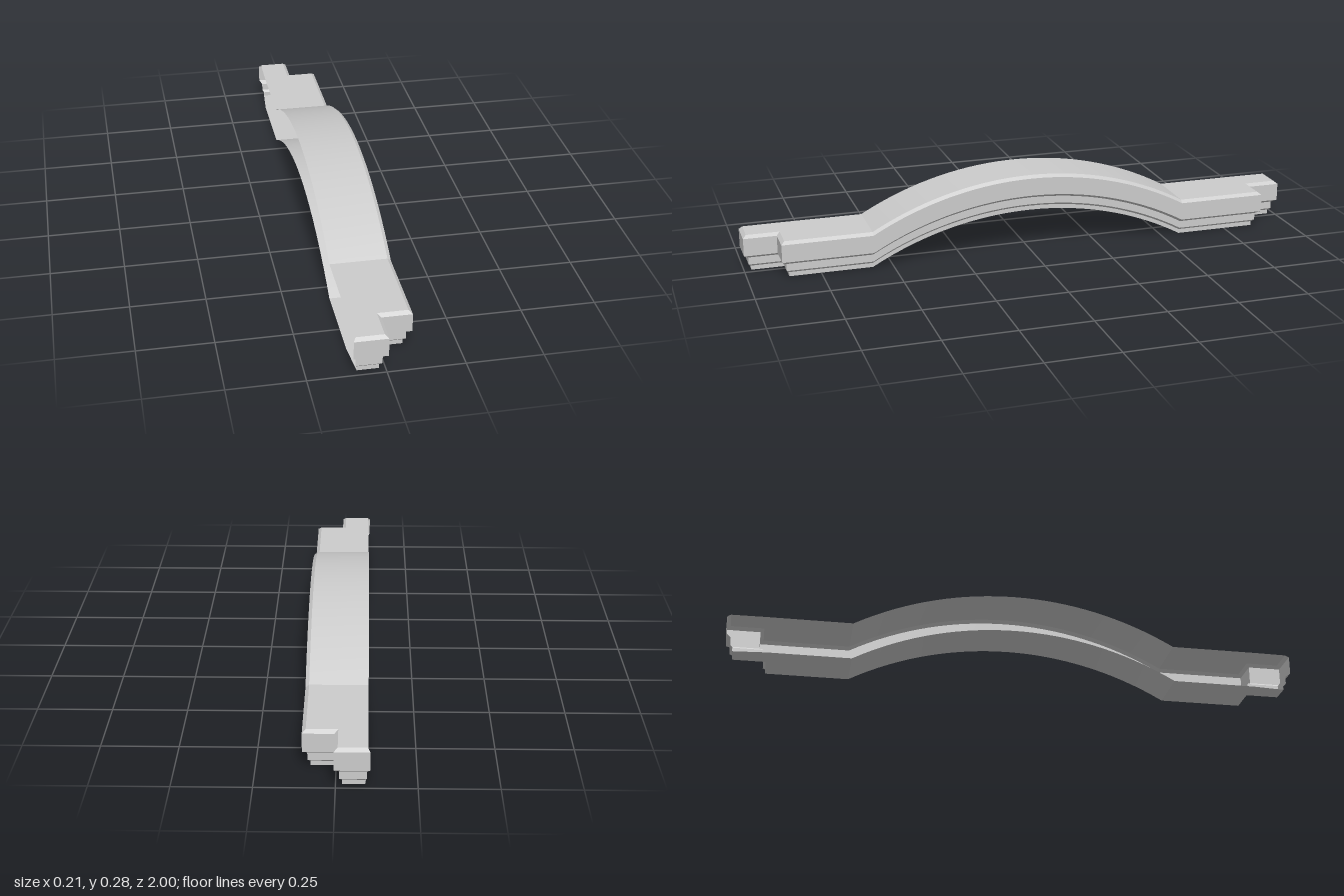
import * as THREE from 'three';
import { toCreasedNormals } from 'three/addons/utils/BufferGeometryUtils.js';

const HALF_SPAN = 0.57, RISE = 0.15, STEPS = 32;
const RADIUS = (HALF_SPAN ** 2 + RISE ** 2) / (2 * RISE);

// Height of the arched path above the straight ends
const lift = (z) => Math.abs(z) >= HALF_SPAN ? 0
  : Math.sqrt(RADIUS ** 2 - z * z) - RADIUS + RISE;

// Moulding section from top to bottom: [height, inset from the outermost face]
const section = [
  [0.133, 0.012], [0.123, 0], [0.06, 0], [0.049, 0.016],
  [0.023, 0.016], [0.015, 0.025], [0, 0.025],
];

// One level line around the tongue, notch and arched front, inset by o
function levelLine([y, o]) {
  const end = [
    [-0.105 + 0.6 * o, 1 - o], [0.005 - o, 1 - o],
    [0.005 - o, 0.885 - o], [0.105 - o, 0.885 - o],
  ];
  const plan = [...end];
  for (let i = 0; i <= STEPS; i++) {
    plan.push([0.105 - o, HALF_SPAN * (1 - 2 * i / STEPS)]);
  }
  for (const [x, z] of end.reverse()) plan.push([x, -z]);
  return plan.map(([x, z]) => new THREE.Vector3(x, y + lift(z), z));
}

// The straight back edge that belongs to a level line
function backLine(line) {
  const tip = line[0];
  return line.map((p) => new THREE.Vector3(
    Math.abs(p.z) > 0.9 ? tip.x : -0.1, p.y, p.z));
}

// Skin neighbouring rows of points, leaving out empty triangles
function skin(rows) {
  const pos = [];
  const tri = (a, b, c) => {
    if (new THREE.Triangle(a, b, c).getArea() < 1e-8) return;
    for (const p of [a, b, c]) pos.push(p.x, p.y, p.z);
  };
  for (let j = 0; j < rows.length - 1; j++) {
    for (let i = 0; i < rows[j].length - 1; i++) {
      const a = rows[j][i], b = rows[j + 1][i];
      const c = rows[j + 1][i + 1], d = rows[j][i + 1];
      tri(a, b, c);
      tri(a, c, d);
    }
  }
  const geometry = new THREE.BufferGeometry();
  geometry.setAttribute('position', new THREE.Float32BufferAttribute(pos, 3));
  return toCreasedNormals(geometry, 0.3);
}

export function createModel() {
  const group = new THREE.Group();
  group.name = 'archedMoulding';
  const material = new THREE.MeshStandardMaterial({ color: 0xcccccc, side: THREE.DoubleSide });
  const add = (name, rows) => {
    const mesh = new THREE.Mesh(skin(rows), material);
    mesh.name = name;
    group.add(mesh);
  };

  const lines = section.map(levelLine);
  const top = lines[0], bottom = lines[lines.length - 1];

  // Stepped front with its returns; the back stays open
  add('steppedFront', lines);
  add('topSurface', [backLine(top), top]);
  add('underside', [bottom, backLine(bottom)]);
  return group;
}
